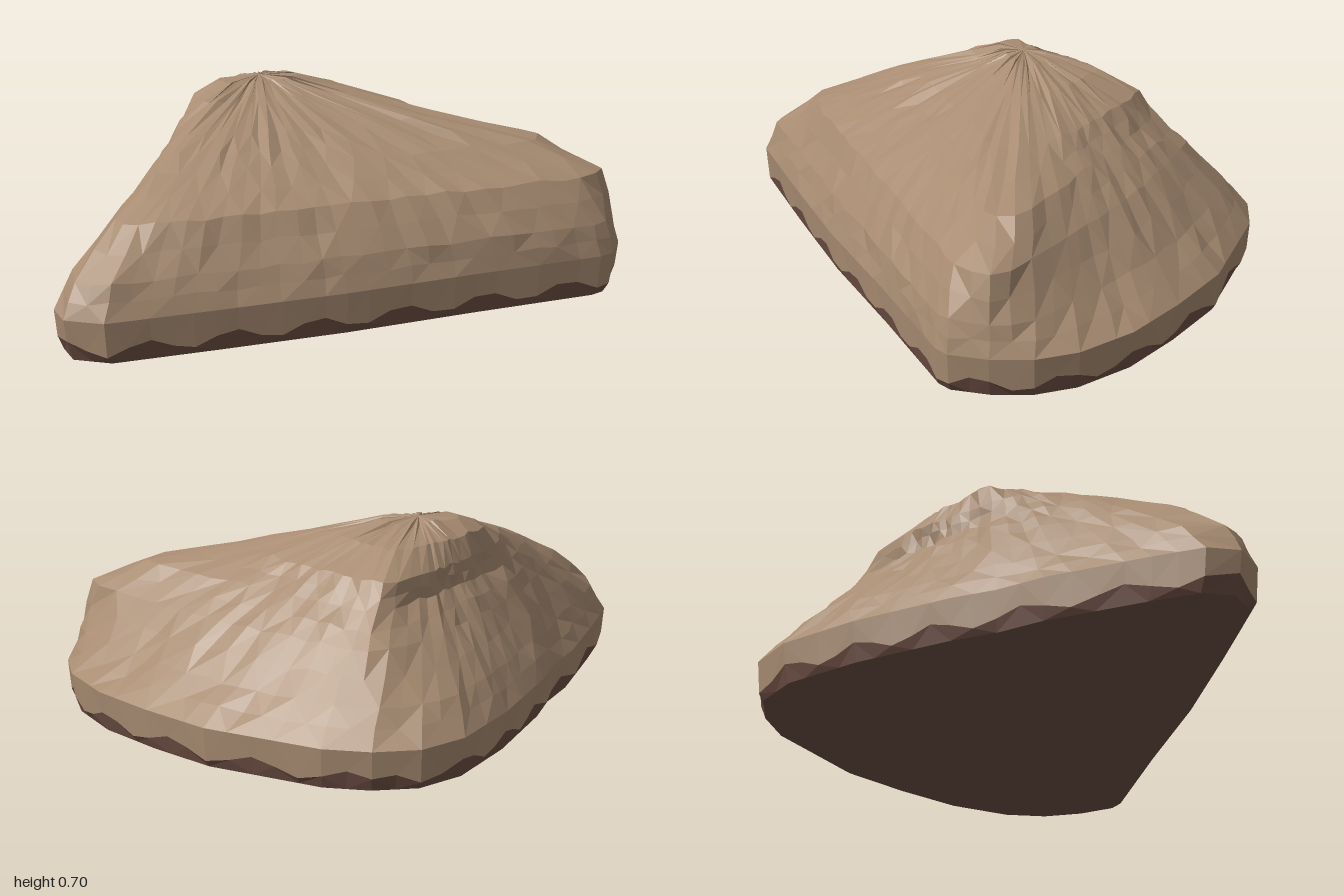
import * as THREE from 'three';

const CX = -0.22, CZ = -0.05; // axis through the summit that every contour surrounds

// Contours as x, z pairs, running clockwise seen from above
const outline = [0, -0.82, 0.16, -0.78, 0.53, -0.56, 0.72, -0.37, 0.88, -0.18, 0.98, 0.02, 1, 0.17,
  0.97, 0.31, 0.91, 0.43, 0.86, 0.46, 0.4, 0.56, -0.06, 0.67, -0.5, 0.75, -0.86, 0.81, -0.98, 0.75,
  -1, 0.64, -0.94, 0.48, -0.8, 0.15, -0.71, 0, -0.65, -0.15, -0.48, -0.47, -0.31, -0.71, -0.16, -0.81];
const flank = [-0.02, -0.73, 0.14, -0.67, 0.43, -0.46, 0.62, -0.28, 0.78, -0.08, 0.93, 0.14, 0.97, 0.27,
  0.87, 0.44, 0, 0.62, -0.86, 0.77, -0.95, 0.7, -0.94, 0.6, -0.66, 0, -0.4, -0.47, -0.25, -0.65];
const shoulder = [-0.03, -0.6, 0.25, -0.42, 0.5, -0.2, 0.7, 0.02, 0.88, 0.2, 0.92, 0.28, 0.84, 0.38,
  0, 0.53, -0.6, 0.64, -0.77, 0.61, -0.8, 0.53, -0.58, 0, -0.27, -0.42, -0.14, -0.53];
const upper = [-0.05, -0.5, 0.2, -0.3, 0.4, -0.12, 0.58, 0.03, 0.72, 0.16, 0.68, 0.26, 0, 0.37,
  -0.45, 0.44, -0.64, 0.41, -0.65, 0.33, -0.55, 0.05, -0.25, -0.31];
const crown = [-0.08, -0.45, 0.1, -0.28, 0.28, -0.08, 0.36, 0.07, 0.3, 0.17, 0, 0.22, -0.35, 0.28,
  -0.54, 0.26, -0.5, 0, -0.25, -0.3];
const crest = [-0.13, -0.3, 0.02, -0.15, 0.1, -0.02, 0.1, 0.05, -0.2, 0.1, -0.42, 0.1, -0.45, -0.03, -0.28, -0.2];
const summit = [-0.15, -0.13, -0.08, -0.06, -0.13, 0, -0.34, 0.02, -0.37, -0.05, -0.25, -0.1];

// Ray directions: the outline cut into short even steps, keeping its corners
function rayDirections() {
  const dirs = [];
  for (let i = 0; i < outline.length; i += 2) {
    const k = (i + 2) % outline.length;
    const ax = outline[i], az = outline[i + 1], bx = outline[k], bz = outline[k + 1];
    const n = Math.max(1, Math.round(Math.hypot(bx - ax, bz - az) / 0.08));
    for (let s = 0; s < n; s++) dirs.push([ax + (bx - ax) * s / n - CX, az + (bz - az) * s / n - CZ]);
  }
  return dirs;
}

// Where a ray from the axis meets a contour
function hit([dx, dz], poly) {
  for (let i = 0; i < poly.length; i += 2) {
    const k = (i + 2) % poly.length;
    const ax = poly[i] - CX, az = poly[i + 1] - CZ;
    const ex = poly[k] - CX - ax, ez = poly[k + 1] - CZ - az;
    const d = dx * ez - dz * ex;
    if (Math.abs(d) < 1e-9) continue;
    const t = (ax * ez - az * ex) / d, u = (ax * dz - az * dx) / d;
    if (t > 0 && u >= -1e-6 && u <= 1 + 1e-6) return [CX + dx * t, CZ + dz * t];
  }
  return [CX, CZ];
}

let seed = 7;
function jitter(amount) {
  seed = (seed * 16807) % 2147483647;
  return (seed / 2147483647 - 0.5) * 2 * amount;
}

// Joins rings of points into a flat-faced skin, closed by an optional centre point
function skin(rings, top, bottom) {
  const pos = [];
  const tri = (a, b, c) => pos.push(...a, ...b, ...c);
  const n = rings[0].length;
  for (let j = 0; j < n; j++) {
    const k = (j + 1) % n;
    for (let i = 0; i < rings.length - 1; i++) {
      const a = rings[i][j], b = rings[i][k], c = rings[i + 1][k], d = rings[i + 1][j];
      if ((i + j) % 2) { tri(a, d, c); tri(a, c, b); } else { tri(a, d, b); tri(b, d, c); }
    }
    const last = rings[rings.length - 1];
    if (top) tri(top, last[k], last[j]);
    if (bottom) tri(bottom, rings[0][j], rings[0][k]);
  }
  const g = new THREE.BufferGeometry();
  g.setAttribute('position', new THREE.Float32BufferAttribute(pos, 3));
  g.computeVertexNormals();
  return g;
}

export function createModel() {
  const stone = new THREE.MeshStandardMaterial({ color: 0xa88c72, flatShading: true });
  stone.name = 'sandy stone';
  const earth = new THREE.MeshStandardMaterial({ color: 0x6f5045, flatShading: true });
  earth.name = 'dark earth';

  const dirs = rayDirections();
  const ring = (poly, y, scale = 1, rough = 0) => dirs.map((d) => {
    const [x, z] = hit(d, poly);
    return [x * scale + jitter(rough), y + jitter(rough), z * scale + jitter(rough)];
  });
  const between = (a, b, rough) => a.map((p, j) => p.map((v, c) => (v + b[j][c]) / 2 + jitter(rough)));

  // Foot, with a wavy upper edge
  const foot = ring(outline, 0, 0.97);
  const edge = ring(outline, 0, 0.99).map(([x, , z], j) => [x, 0.045 + 0.022 * Math.sin(j * 1.6), z]);

  // Rock body, contour by contour
  const widest = ring(outline, 0.14);
  const levels = [[flank, 0.25], [shoulder, 0.4], [upper, 0.5], [crown, 0.58], [crest, 0.65], [summit, 0.695]];
  const body = [edge, widest];
  let previous = widest;
  for (const [poly, y] of levels) {
    const next = ring(poly, y, 1, 0.006);
    if (y < 0.6) body.push(between(previous, next, 0.006));
    body.push(next);
    previous = next;
  }

  const group = new THREE.Group();
  group.name = 'rock';
  const add = (name, geometry, material) => {
    const mesh = new THREE.Mesh(geometry, material);
    mesh.name = name;
    group.add(mesh);
  };
  add('rockBody', skin(body, [CX, 0.705, CZ], null), stone);
  add('rockFoot', skin([foot, edge], null, [CX, 0, CZ]), earth);
  return group;
}
